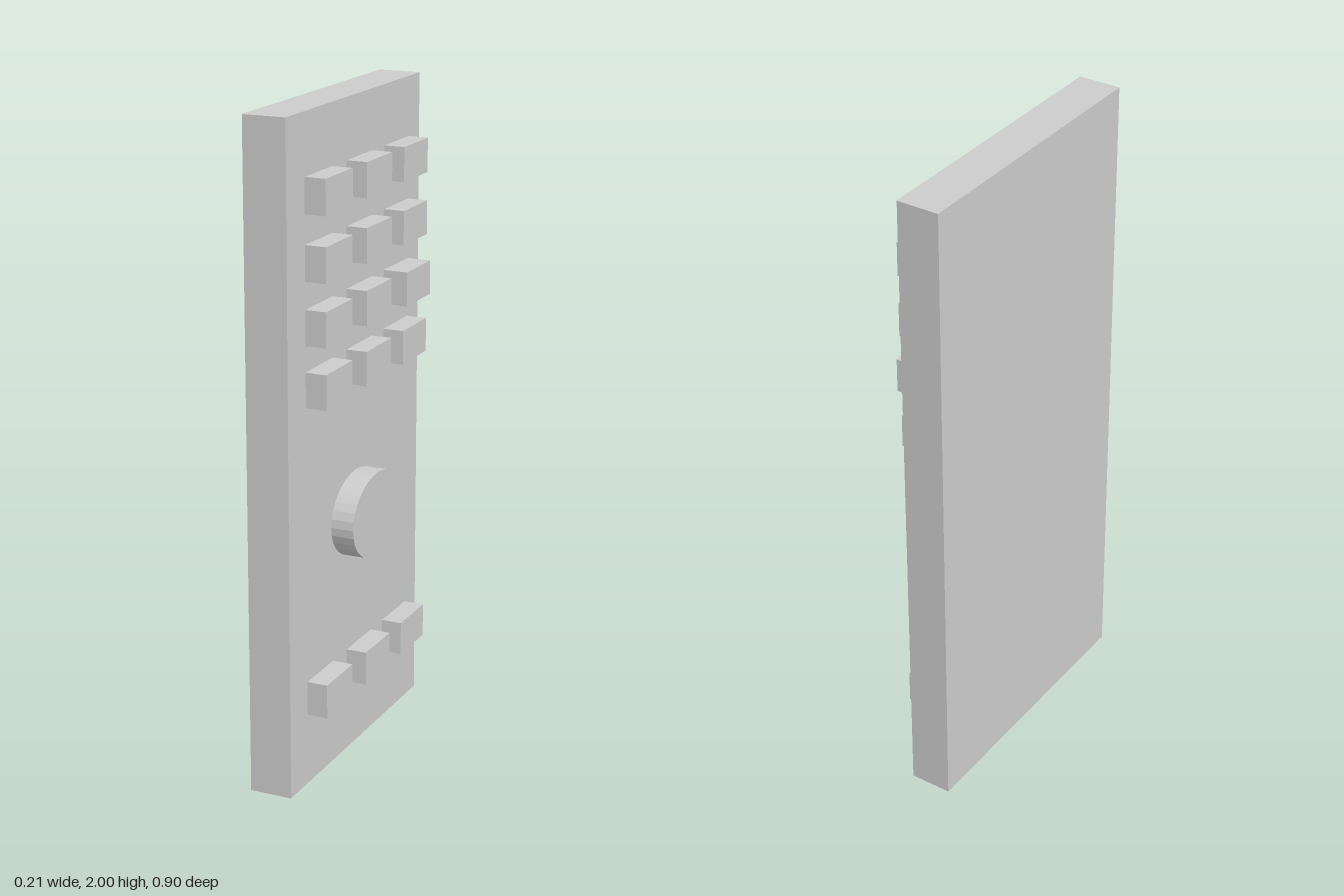
import * as THREE from 'three';

export function createModel() {
  const model = new THREE.Group();
  const material = new THREE.MeshStandardMaterial({ color: 0xcccccc, flatShading: true });
  const face = 0.027; // x of the slab face carrying the buttons

  const add = (name, geometry, x, y, z) => {
    const mesh = new THREE.Mesh(geometry, material);
    mesh.name = name;
    mesh.position.set(x, y, z);
    model.add(mesh);
    return mesh;
  };

  // Slab body
  const back = -0.104;
  add('body', new THREE.BoxGeometry(face - back, 2, 0.898), (face + back) / 2, 1, 0);

  // Buttons: four upper rows and one lower row, three columns each
  const rows = [1.768, 1.578, 1.394, 1.213, 0.273];
  const columns = [0.249, -0.021, -0.281];
  rows.forEach((y, r) => columns.forEach((z, c) => {
    const top = r === 2 && c === 2 ? 0.103 : 0.091; // one button stands prouder
    const depth = top - face;
    add('button', new THREE.BoxGeometry(depth, 0.104, 0.174), face + depth / 2, y, z);
  }));

  // Oval central button
  const depth = 0.098 - face;
  const oval = new THREE.CylinderGeometry(1, 1, depth, 32);
  oval.rotateZ(-Math.PI / 2);
  oval.scale(1, 0.13, 0.173);
  add('ovalButton', oval, face + depth / 2, 0.75, 0);

  return model;
}
